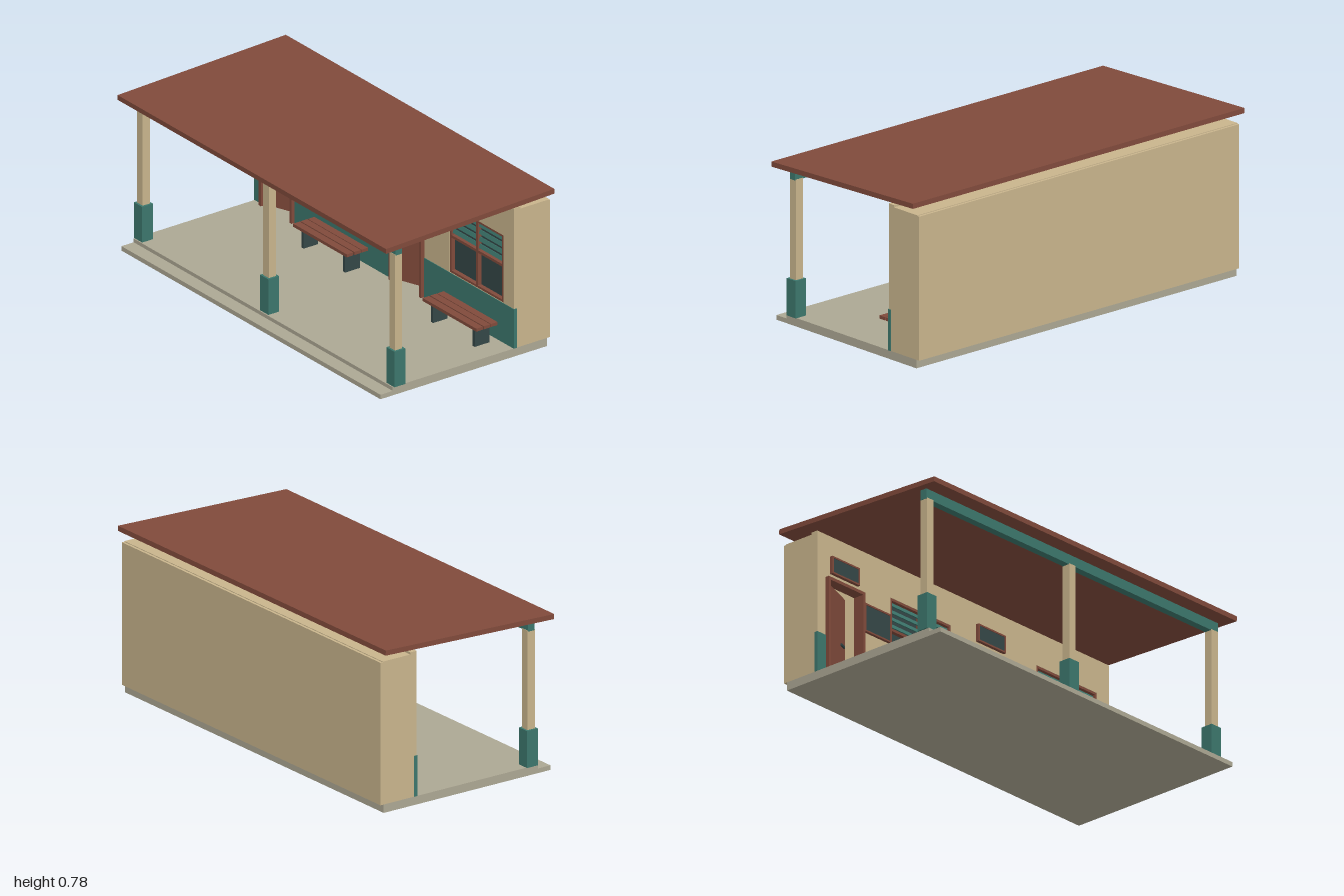
import * as THREE from 'three';

const mat = (name, color) => {
  const m = new THREE.MeshStandardMaterial({ color });
  m.name = name;
  return m;
};

export function createModel() {
  const brown = mat('red brown', 0x804a3b);
  const beige = mat('beige plaster', 0xc8b48c);
  const teal = mat('teal paint', 0x3c766c);
  const dark = mat('dark slate', 0x344646);
  const concrete = mat('concrete', 0xaca793);

  const model = new THREE.Group();
  model.name = 'shelter';

  const group = (name, x = 0) => {
    const g = new THREE.Group();
    g.name = name;
    g.position.x = x;
    model.add(g);
    return g;
  };
  // Box given by its lower and upper limits on each axis
  const box = (parent, name, material, x0, x1, y0, y1, z0, z1) => {
    const mesh = new THREE.Mesh(new THREE.BoxGeometry(x1 - x0, y1 - y0, z1 - z0), material);
    mesh.position.set((x0 + x1) / 2, (y0 + y1) / 2, (z0 + z1) / 2);
    mesh.name = name;
    parent.add(mesh);
    return mesh;
  };
  // Rectangular frame of four bars
  const frame = (parent, name, w, x0, x1, y0, y1, z0, z1) => {
    box(parent, name + 'Left', brown, x0, x0 + w, y0, y1, z0, z1);
    box(parent, name + 'Right', brown, x1 - w, x1, y0, y1, z0, z1);
    box(parent, name + 'Bottom', brown, x0 + w, x1 - w, y0, y0 + w, z0, z1);
    box(parent, name + 'Top', brown, x0 + w, x1 - w, y1 - w, y1, z0, z1);
  };

  const bays = [-0.4825, 0.4825]; // two identical bays

  // Platform and front step
  box(model, 'platform', concrete, -0.965, 0.965, 0, 0.04, -0.453, 0.405);
  box(model, 'step', concrete, -0.965, 0.965, 0, 0.022, 0.405, 0.473);

  // Front wall with door notches and window openings
  const wall = new THREE.Shape();
  wall.moveTo(-0.965, 0.04);
  for (const b of bays) {
    wall.lineTo(b - 0.42, 0.04);
    wall.lineTo(b - 0.42, 0.512);
    wall.lineTo(b - 0.19, 0.512);
    wall.lineTo(b - 0.19, 0.04);
    const hole = new THREE.Path();
    hole.moveTo(b + 0.002, 0.235);
    hole.lineTo(b + 0.002, 0.567);
    hole.lineTo(b + 0.402, 0.567);
    hole.lineTo(b + 0.402, 0.235);
    hole.closePath();
    wall.holes.push(hole);
  }
  wall.lineTo(0.965, 0.04);
  wall.lineTo(0.965, 0.73);
  wall.lineTo(-0.965, 0.73);
  wall.closePath();
  const frontWall = new THREE.Mesh(
    new THREE.ExtrudeGeometry(wall, { depth: 0.035, bevelEnabled: false }), beige);
  frontWall.position.z = -0.305;
  frontWall.name = 'frontWall';
  model.add(frontWall);

  // Back, side walls and ceiling
  box(model, 'backWall', beige, -0.965, 0.965, 0.04, 0.717, -0.471, -0.458);
  for (const s of [-1, 1]) {
    const x = s * 0.9475;
    box(model, 'sideWall', beige, x - 0.0175, x + 0.0175, 0.04, 0.72, -0.458, -0.305);
  }
  box(model, 'ceiling', beige, -0.93, 0.93, 0.7, 0.72, -0.458, -0.305);

  // Painted lower band, interrupted at the doors
  for (const [x0, x1] of [[-0.967, -0.905], [-0.67, 0.06], [0.295, 0.967]]) {
    box(model, 'wallBand', teal, x0, x1, 0.04, 0.234, -0.285, -0.267);
  }

  for (const b of bays) {
    // Door frame and door standing ajar inwards
    const door = group('doorway', b);
    box(door, 'leftJamb', brown, -0.428, -0.412, 0.04, 0.505, -0.305, -0.25);
    box(door, 'rightJamb', brown, -0.2, -0.184, 0.04, 0.505, -0.305, -0.25);
    box(door, 'lintel', brown, -0.428, -0.184, 0.505, 0.52, -0.305, -0.25);
    const leaf = new THREE.Group();
    leaf.name = 'doorLeaf';
    leaf.position.set(-0.412, 0, -0.275);
    leaf.rotation.y = 0.35;
    door.add(leaf);
    box(leaf, 'doorPanel', brown, 0, 0.208, 0.042, 0.504, -0.012, 0);
    box(leaf, 'doorHandle', dark, 0.155, 0.192, 0.256, 0.267, 0, 0.008);

    // Notice panel over the door
    const sign = group('doorSign', b);
    box(sign, 'signPanel', dark, -0.394, -0.22, 0.55, 0.624, -0.27, -0.257);
    frame(sign, 'signFrame', 0.008, -0.398, -0.216, 0.545, 0.63, -0.27, -0.254);

    // Window with glass, frame and upper blind
    const win = group('window', b);
    box(win, 'glass', dark, 0.004, 0.4, 0.237, 0.565, -0.3, -0.293);
    frame(win, 'windowFrame', 0.011, 0.002, 0.402, 0.235, 0.567, -0.305, -0.272);
    box(win, 'mullion', brown, 0.196, 0.208, 0.246, 0.556, -0.293, -0.273);
    box(win, 'transom', brown, 0.013, 0.391, 0.407, 0.42, -0.293, -0.273);
    for (let i = 0; i < 4; i++) {
      const y = 0.438 + i * 0.035;
      for (const x of [0.013, 0.208]) {
        const slat = box(win, 'slat', teal, x, x + 0.183, y - 0.01, y + 0.01, -0.287, -0.282);
        slat.rotation.x = -0.3;
      }
    }

    // Bench with three planks
    const bench = group('bench', b);
    for (const z of [-0.138, -0.18, -0.22]) {
      box(bench, 'benchPlank', brown, 0.002, 0.402, 0.134, 0.149, z - 0.018, z + 0.018);
    }
    for (const x of [0.047, 0.357]) {
      box(bench, 'benchLeg', dark, x - 0.008, x + 0.008, 0.04, 0.134, -0.22, -0.139);
    }
  }

  // Notice board beside the first door
  const board = group('noticeBoard');
  box(board, 'boardPanel', dark, -0.66, -0.49, 0.34, 0.47, -0.27, -0.26);
  frame(board, 'boardFrame', 0.008, -0.664, -0.488, 0.336, 0.475, -0.27, -0.256);

  // Porch posts with painted bases
  for (const x of [-0.94, 0, 0.94]) {
    const post = group('post', x);
    box(post, 'postShaft', beige, -0.021, 0.021, 0.215, 0.687, 0.349, 0.389);
    box(post, 'postBase', teal, -0.031, 0.031, 0.04, 0.215, 0.339, 0.399);
  }
  box(model, 'beam', teal, -0.963, 0.963, 0.683, 0.733, 0.351, 0.387);

  // Sloping roof slab
  const roof = box(model, 'roof', brown, -1, 1, 0.7445, 0.7685, -0.468, 0.468);
  roof.rotation.x = 0.0347;

  return model;
}
